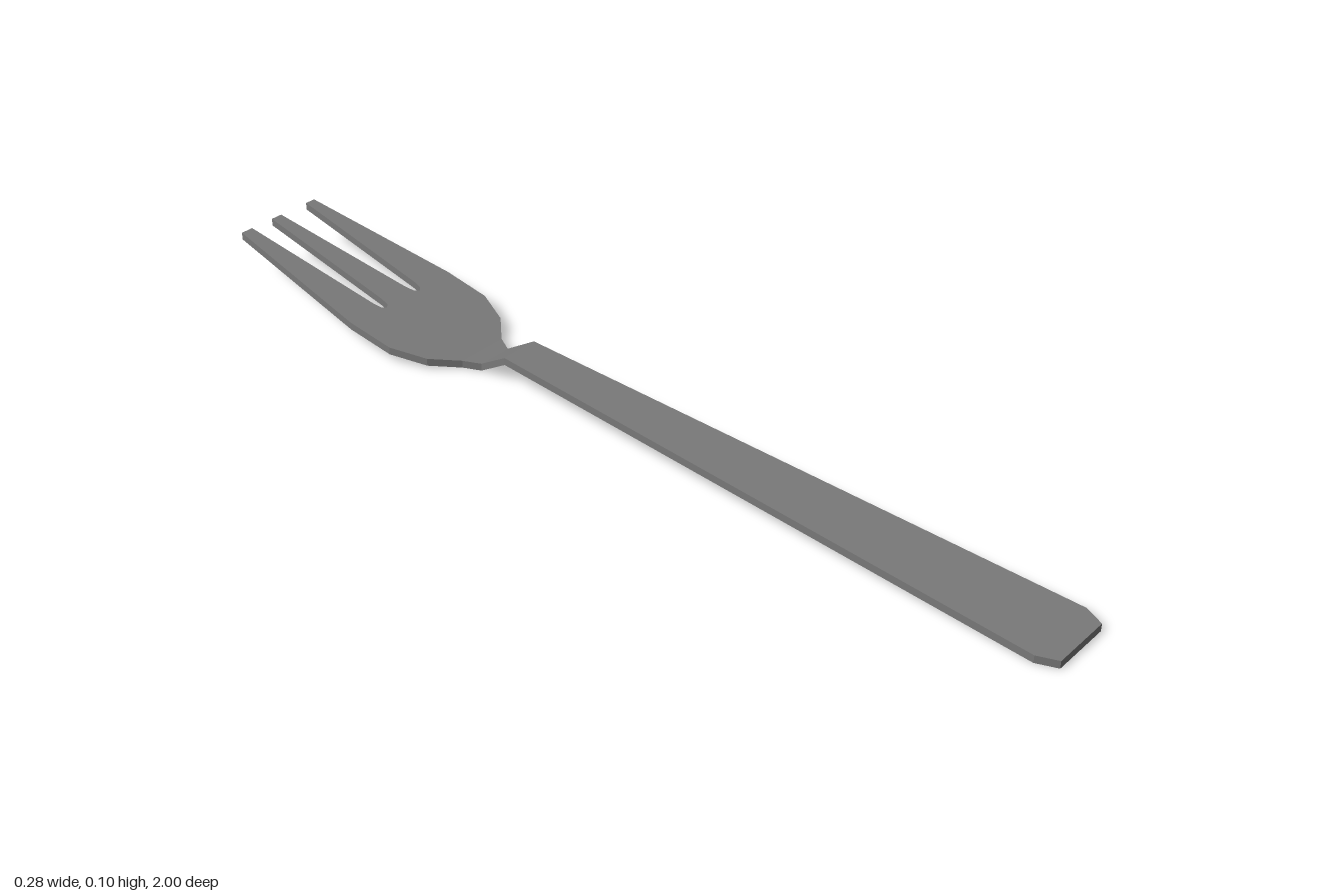
import * as THREE from 'three';

const THICKNESS = 0.016;

// Underside height along the fork: [z, y] at every bend
const BENDS = [[1, 0], [-0.28, 0.044], [-0.35, 0], [-0.385, 0.001], [-1, 0.086]];

function baseHeight(z) {
  for (let i = 0; i < BENDS.length - 1; i++) {
    const [z0, y0] = BENDS[i];
    const [z1, y1] = BENDS[i + 1];
    if (z >= z1 - 1e-5) return y0 + (y1 - y0) * (z0 - z) / (z0 - z1);
  }
  return BENDS[BENDS.length - 1][1];
}

// Plate cut from an outline of [x, z] points, then lifted to follow the bends
function bentPlate(name, outline, material) {
  const shape = new THREE.Shape(outline.map(([x, z]) => new THREE.Vector2(x, -z)));
  const geometry = new THREE.ExtrudeGeometry(shape, { depth: THICKNESS, bevelEnabled: false });
  geometry.rotateX(-Math.PI / 2);
  const p = geometry.attributes.position;
  for (let i = 0; i < p.count; i++) p.setY(i, p.getY(i) + baseHeight(p.getZ(i)));
  geometry.computeVertexNormals();
  const mesh = new THREE.Mesh(geometry, material);
  mesh.name = name;
  return mesh;
}

// Closed symmetric outline from its right-hand edge
const mirrored = (half) => [...half, ...half.map(([x, z]) => [-x, z]).reverse()];

export function createModel() {
  const steel = new THREE.MeshStandardMaterial({ color: 0x7a7a7a, flatShading: true });
  steel.name = 'steel';

  const fork = new THREE.Group();
  fork.name = 'fork';

  // Tapered handle with clipped end corners
  fork.add(bentPlate('handle', mirrored([[0.064, 1], [0.082, 0.96], [0.042, -0.28]]), steel));

  // Steep step down and the short flat collar behind the head
  fork.add(bentPlate('neck', mirrored([[0.042, -0.28], [0.038, -0.35]]), steel));
  fork.add(bentPlate('collar', mirrored([[0.038, -0.35], [0.056, -0.385]]), steel));

  // Rounded head with three tapering tines
  fork.add(bentPlate('head', [
    [0.056, -0.385], [0.105, -0.435], [0.136, -0.51], [0.138, -0.62],
    [0.107, -1], [0.084, -1],                            // left tine tip
    [0.059, -0.64], [0.055, -0.618], [0.046, -0.61], [0.037, -0.618], [0.033, -0.64],
    [0.013, -1], [-0.013, -1],                           // middle tine tip
    [-0.034, -0.64], [-0.038, -0.618], [-0.047, -0.61], [-0.055, -0.618], [-0.058, -0.64],
    [-0.068, -1], [-0.096, -1],                          // right tine tip
    [-0.138, -0.62], [-0.136, -0.51], [-0.105, -0.435], [-0.056, -0.385],
  ], steel));

  return fork;
}
